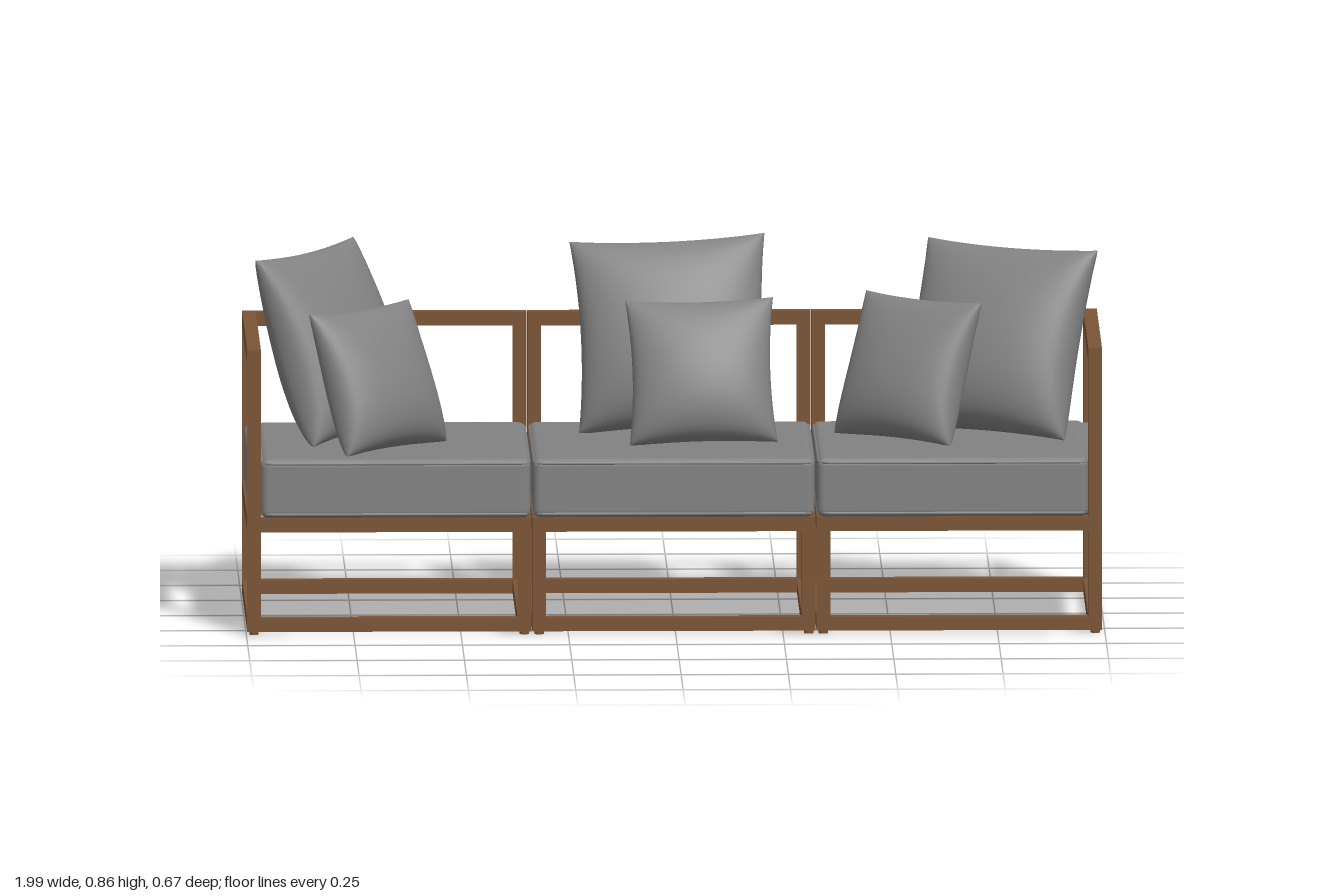
import * as THREE from 'three';
import { mergeGeometries, mergeVertices } from 'three/addons/utils/BufferGeometryUtils.js';
import { RoundedBoxGeometry } from 'three/addons/geometries/RoundedBoxGeometry.js';

const wood = new THREE.MeshStandardMaterial({ color: 0x7a5535 });
wood.name = 'brown wood';
const fabric = new THREE.MeshStandardMaterial({ color: 0x828282 });
fabric.name = 'grey fabric';

const BAR = 0.032, BACK = -0.332, FRONT = 0.331;

function add(parent, name, geometry, material) {
  const mesh = new THREE.Mesh(geometry, material);
  mesh.name = name;
  parent.add(mesh);
  return mesh;
}

// Box given by its limits on each axis
function bar(parent, name, x0, x1, y0, y1, z0, z1) {
  add(parent, name, new THREE.BoxGeometry(x1 - x0, y1 - y0, z1 - z0), wood)
    .position.set((x0 + x1) / 2, (y0 + y1) / 2, (z0 + z1) / 2);
}

function softBox(parent, name, x0, x1, y0, y1, z0, z1, radius) {
  add(parent, name, new RoundedBoxGeometry(x1 - x0, y1 - y0, z1 - z0, 4, radius), fabric)
    .position.set((x0 + x1) / 2, (y0 + y1) / 2, (z0 + z1) / 2);
}

// Closed cord around a seat cushion
function piping(parent, x0, x1, y, z0, z1) {
  const c = 0.015, p = [];
  for (const [x, z, sx, sz] of [[x0, z0, 1, 1], [x1, z0, -1, 1], [x1, z1, -1, -1], [x0, z1, 1, -1]]) {
    const a = new THREE.Vector3(x, y, z + sz * c), b = new THREE.Vector3(x + sx * c, y, z);
    const mid = new THREE.Vector3(x + sx * c * 0.3, y, z + sz * c * 0.3);
    p.push(...(sx === sz ? [a, mid, b] : [b, mid, a]));
  }
  const path = new THREE.CurvePath();
  p.forEach((v, i) => path.add(new THREE.LineCurve3(v, p[(i + 1) % p.length])));
  add(parent, 'cushionPiping', new THREE.TubeGeometry(path, 160, 0.004, 6, true), fabric);
}

// One seat section: wooden frame with arms only where the sofa ends
function section(x0, x1, end) {
  const g = new THREE.Group();
  g.name = 'seatSection';
  const zi0 = BACK + BAR, zi1 = FRONT - BAR;
  for (const [side, a] of [[-1, x0], [1, x1 - BAR]]) {
    const b = a + BAR, arm = side === end;
    bar(g, 'backPost', a, b, 0.008, 0.67, BACK, zi0);
    bar(g, 'frontPost', a, b, 0.008, arm ? 0.67 : 0.275, zi1, FRONT);
    bar(g, 'sideBottomRail', a, b, 0.008, 0.04, zi0, zi1);
    bar(g, 'sideSeatRail', a, b, 0.242, 0.275, zi0, zi1);
    if (arm) bar(g, 'armRail', a, b, 0.638, 0.67, zi0, zi1);
    for (const z of [BACK + 0.016, FRONT - 0.016]) {
      const foot = add(g, 'foot', new THREE.CylinderGeometry(0.011, 0.011, 0.008, 12), wood);
      foot.position.set(a + BAR / 2, 0.004, z);
    }
  }
  for (const [z0, z1] of [[BACK, zi0], [zi1, FRONT]]) {
    bar(g, 'bottomRail', x0 + BAR, x1 - BAR, 0.008, 0.04, z0, z1);
    bar(g, 'seatRail', x0 + BAR, x1 - BAR, 0.242, 0.275, z0, z1);
  }
  bar(g, 'backRail', x0 + BAR, x1 - BAR, 0.638, 0.67, BACK, zi0);

  // Seat cushion, swelling out between the posts
  const c0 = end === -1 ? x0 + BAR : x0 + 0.002, c1 = end === 1 ? x1 - BAR : x1 - 0.002;
  softBox(g, 'seatCushion', c0, c1, 0.274, 0.413, zi0, 0.335, 0.018);
  softBox(g, 'cushionBackSwell', x0 + BAR, x1 - BAR, 0.276, 0.408, BACK - 0.002, -0.24, 0.015);
  if (end) {
    const s0 = end < 0 ? x0 + 0.004 : x1 - 0.12, s1 = end < 0 ? x0 + 0.12 : x1 - 0.002;
    softBox(g, 'cushionSideSwell', s0, s1, 0.276, 0.408, zi0, zi1, 0.015);
  }
  for (const y of [0.284, 0.403]) piping(g, c0 + 0.003, c1 - 0.003, y, zi0 + 0.003, 0.333);
  return g;
}

// Square pillow with drawn-in edges, pointed corners and a fuller lower half
function pillowGeometry(size, thickness) {
  const face = new THREE.PlaneGeometry(2, 2, 28, 28);
  const p = face.attributes.position;
  for (let i = 0; i < p.count; i++) {
    const u = Math.sin(p.getX(i) * Math.PI / 2), v = Math.sin(p.getY(i) * Math.PI / 2);
    const puff = Math.pow(Math.max(0, (1 - u * u) * (1 - v * v)), 0.42);
    p.setXYZ(i,
      size / 2 * u * (1 - 0.07 * (1 - v * v)),
      size / 2 * v * (1 - 0.05 * (1 - u * u)),
      thickness / 2 * puff * (1 - 0.2 * v));
  }
  const geo = mergeGeometries([face, face.clone().rotateY(Math.PI)]);
  geo.deleteAttribute('normal');
  geo.deleteAttribute('uv');
  const welded = mergeVertices(geo, 1e-5);
  welded.computeVertexNormals();
  return welded;
}

export function createModel() {
  const sofa = new THREE.Group();
  sofa.name = 'sofa';
  sofa.add(section(-0.998, -0.336, -1), section(-0.334, 0.326, 0), section(0.328, 0.993, 1));

  // Pillows: name, large, x, y, z, turn, lean, roll (degrees)
  const large = pillowGeometry(0.455, 0.2), small = pillowGeometry(0.345, 0.15);
  const deg = Math.PI / 180;
  for (const [name, big, x, y, z, turn, lean, roll] of [
    ['rightBackPillow', true, -0.79, 0.63, -0.09, 59, 20, 0],
    ['middleBackPillow', true, 0.0, 0.636, -0.17, 0, 17, 2.5],
    ['leftBackPillow', true, 0.755, 0.63, -0.115, -31, 20, 0],
    ['rightSmallPillow', false, -0.69, 0.573, 0.11, 47, 20, 0],
    ['middleSmallPillow', false, 0.065, 0.578, 0.05, 0, 20, 1.5],
    ['leftSmallPillow', false, 0.548, 0.573, -0.03, -40, 20, 0],
  ]) {
    const pillow = add(sofa, name, big ? large : small, fabric);
    pillow.position.set(x, y, z);
    pillow.rotation.set(-lean * deg, turn * deg, roll * deg, 'YXZ');
  }
  return sofa;
}
